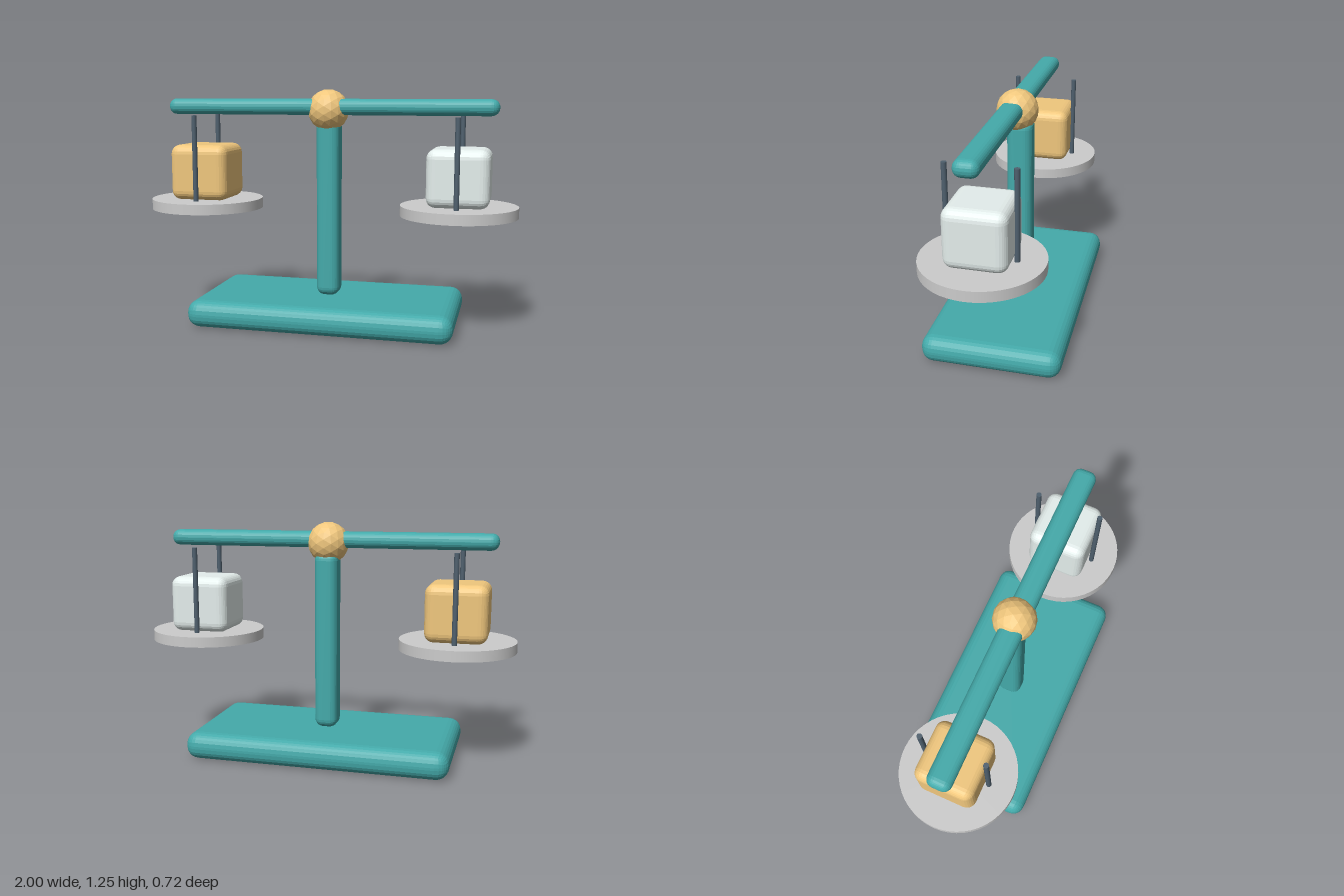
import * as THREE from 'three';
import { RoundedBoxGeometry } from 'three/addons/geometries/RoundedBoxGeometry.js';

const material = (color, flatShading = false) => new THREE.MeshStandardMaterial({ color, flatShading });
const teal = material(0x44aaaa, true);
const gold = material(0xf0c77d, true);
const white = material(0xe4eeec, true);
const grey = material(0xcccccc);
const slate = material(0x4f606e);

function add(parent, name, geometry, mat, x, y, z) {
  const mesh = new THREE.Mesh(geometry, mat);
  mesh.name = name;
  mesh.position.set(x, y, z);
  parent.add(mesh);
  return mesh;
}

const block = (w, h, d, r) => new RoundedBoxGeometry(w, h, d, 3, r);

export function createModel() {
  const model = new THREE.Group();
  model.name = 'balanceScale';

  // Stand
  add(model, 'base', block(1.405, 0.145, 0.72, 0.066), teal, 0, 0.0725, 0);
  add(model, 'post', block(0.125, 0.955, 0.136, 0.045), teal, 0, 0.6225, 0);

  // Beam passing through the pivot ball
  add(model, 'beam', block(1.78, 0.085, 0.123, 0.041), teal, 0, 1.163, 0.03);
  add(model, 'pivotBall', new THREE.IcosahedronGeometry(0.11, 2), gold, 0, 1.146, 0.018);

  // A pan, two hanger rods and a weight on each side
  for (const [side, label, mat] of [[1, 'left', white], [-1, 'right', gold]]) {
    const pan = new THREE.Group();
    pan.name = label + 'Pan';
    pan.position.set(side * 0.695, 0, 0.014);
    model.add(pan);

    add(pan, 'dish', new THREE.CylinderGeometry(0.305, 0.305, 0.055, 48), grey, 0, 0.63, 0);
    add(pan, 'weight', block(0.322, 0.3, 0.31, 0.05), mat, 0, 0.807, -0.002);
    for (const z of [0.17, -0.166]) {
      add(pan, 'hangerRod', new THREE.CylinderGeometry(0.0135, 0.0135, 0.468, 12), slate, 0, 0.884, z);
    }
  }
  return model;
}
